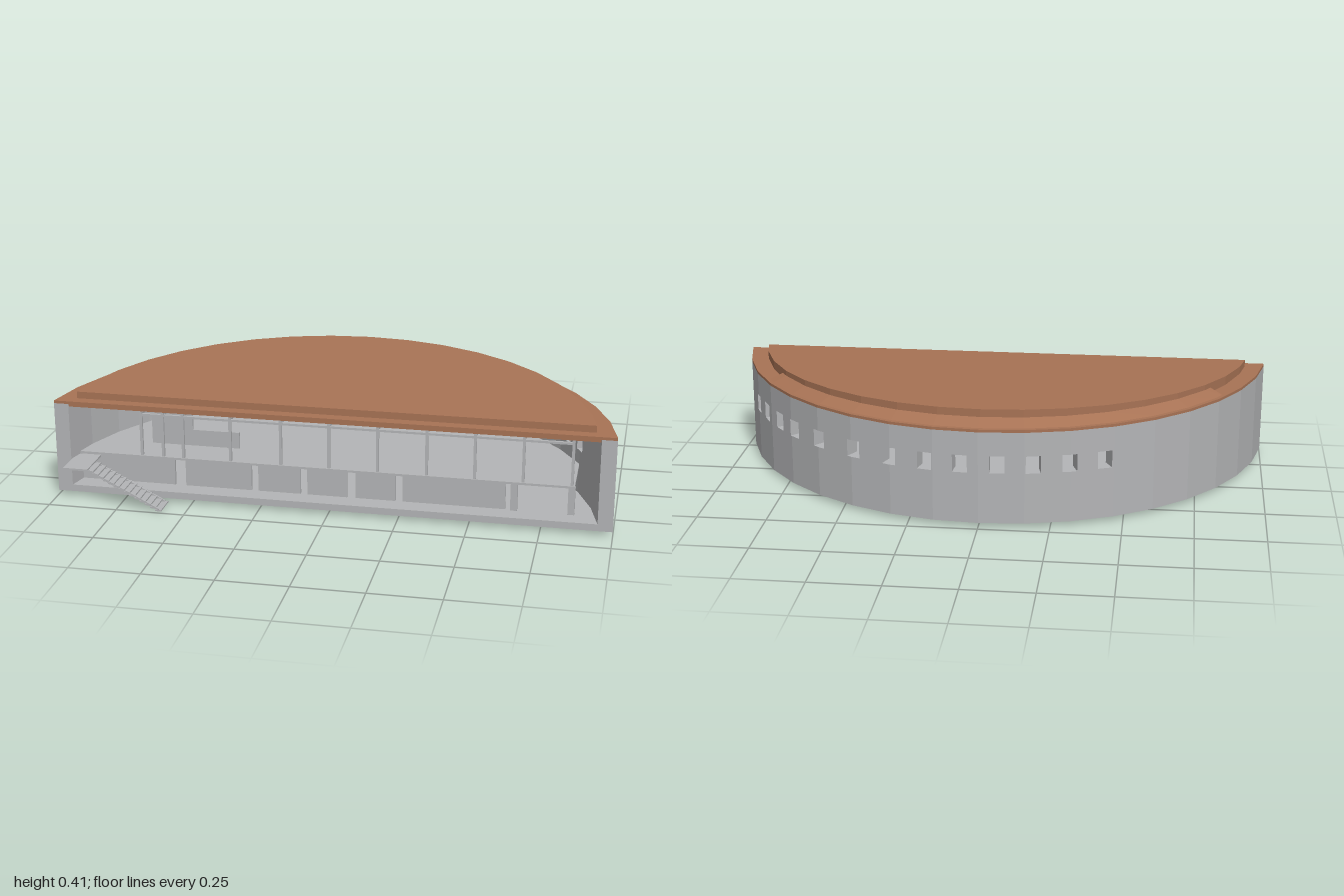
import * as THREE from 'three';

const CZ = 0.529, R_OUT = 1.009, R_IN = 0.955, FRONT = 0.395; // arc centre, radii, front plane
const END = THREE.MathUtils.degToRad(82.37), FACETS = 18, STEP = (2 * END) / FACETS;

export function createModel() {
  const model = new THREE.Group();
  const concrete = new THREE.MeshStandardMaterial({ color: 0xb4b5b7 });
  concrete.name = 'grey concrete';
  const brown = new THREE.MeshStandardMaterial({ color: 0xa87355, side: THREE.DoubleSide });
  brown.name = 'brown roofing';

  const add = (name, geometry, material, parent = model) => {
    const mesh = new THREE.Mesh(geometry, material);
    mesh.name = name;
    parent.add(mesh);
    return mesh;
  };
  const group = (name) => {
    const g = new THREE.Group();
    g.name = name;
    model.add(g);
    return g;
  };
  // Box given by its limits
  const box = (name, x0, x1, y0, y1, z0, z1, material = concrete, parent = model) => {
    const g = new THREE.BoxGeometry(x1 - x0, y1 - y0, z1 - z0);
    g.translate((x0 + x1) / 2, (y0 + y1) / 2, (z0 + z1) / 2);
    return add(name, g, material, parent);
  };

  // Point [x, z] on the faceted arc, clipped at a front plane
  const arcPoint = (a, r, front = FRONT) => {
    const k = Math.min(FACETS - 1, Math.max(0, Math.floor((a + END) / STEP + 1e-6)));
    const mid = -END + (k + 0.5) * STEP;
    const rr = (r * Math.cos(STEP / 2)) / Math.cos(a - mid);
    return [rr * Math.sin(a), Math.min(front, CZ - rr * Math.cos(a))];
  };
  // Angles from a0 to a1 with the facet corners between them
  const angles = (a0, a1) => {
    const list = [a0];
    for (let i = 0; i <= FACETS; i++) {
      const a = -END + i * STEP;
      if (a > a0 + 1e-4 && a < a1 - 1e-4) list.push(a);
    }
    return [...list, a1];
  };
  const arc = (a0, a1, r, front) => angles(a0, a1).map((a) => arcPoint(a, r, front));
  // Upright prism over an outline of [x, z] points
  const prism = (points, y0, y1) => {
    const shape = new THREE.Shape(points.map(([x, z]) => new THREE.Vector2(x, -z)));
    const g = new THREE.ExtrudeGeometry(shape, { depth: y1 - y0, bevelEnabled: false });
    g.rotateX(-Math.PI / 2);
    g.translate(0, y0, 0);
    return g;
  };
  const wallBlock = (a0, a1, y0, y1) =>
    prism([...arc(a0, a1, R_OUT), ...arc(a0, a1, R_IN).reverse()], y0, y1);

  // Base and curved wall with a row of window openings
  add('base', prism(arc(-END, END, R_OUT), 0.015, 0.04), concrete);
  const wall = group('curvedWall');
  add('wallBelowWindows', wallBlock(-END, END, 0.04, 0.2), concrete, wall);
  add('wallAboveWindows', wallBlock(-END, END, 0.263, 0.35), concrete, wall);
  const windows = [-25.5, -18.2, -10.9, -3.7, 3.7, 10.9, 18.6, 27, 36.5, 44.7, 51, 58, 64.3];
  const half = THREE.MathUtils.degToRad(1.5);
  let start = -END;
  for (const deg of [...windows, null]) {
    const a = deg === null ? END + half : THREE.MathUtils.degToRad(deg);
    add('wallBetweenWindows', wallBlock(start, a - half, 0.2, 0.263), concrete, wall);
    start = a + half;
  }

  // Flat roof rim and ceiling
  add('roofRim', prism(arc(-END, END, R_OUT), 0.35, 0.36), brown);
  add('ceiling', prism(arc(-END, END, R_IN - 0.002), 0.341, 0.351), brown);

  // Raised roof, rising towards the back
  const roofEnd = THREE.MathUtils.degToRad(79.4);
  const roof = prism(arc(-roofEnd, roofEnd, 0.945, 0.355), 0.36, 0.4);
  const p = roof.attributes.position;
  for (let i = 0; i < p.count; i++) {
    if (p.getY(i) > 0.38) p.setY(i, 0.385 + ((0.355 - p.getZ(i)) / 0.76) * 0.027);
  }
  roof.computeVertexNormals();
  add('raisedRoof', roof, brown);

  // Sloping skirt round the back of the raised roof
  const skirt = [];
  const list = angles(-1, 1);
  const ring = list.map((a) => {
    const [xi, zi] = arcPoint(a, 0.943);
    const [xo, zo] = arcPoint(a, 0.996);
    return [[xi, 0.372 + 0.013 * Math.cos(a), zi], [xo, 0.361, zo]];
  });
  for (let i = 0; i < ring.length - 1; i++) {
    const [a, b] = ring[i], [c, d] = ring[i + 1];
    skirt.push(...a, ...c, ...b, ...b, ...c, ...d);
  }
  const skirtGeometry = new THREE.BufferGeometry();
  skirtGeometry.setAttribute('position', new THREE.Float32BufferAttribute(skirt, 3));
  skirtGeometry.computeVertexNormals();
  add('roofSkirt', skirtGeometry, brown);

  // Upper floor with a straight right edge
  const deckRight = Math.asin(0.86 / R_IN);
  add('upperFloor', prism([...arc(-1.37, deckRight, R_IN, 0.335), [0.86, 0.335], [-0.94, 0.335]],
    0.141, 0.149), concrete);

  // Front and inner frames: posts, beams and cross beams
  const frame = group('frame');
  const posts = [-0.7, -0.62, -0.545, -0.37, -0.185, -0.01, 0.165, 0.34, 0.51, 0.68, 0.85];
  for (const x of posts) {
    box('post', x - 0.005, x + 0.005, 0.149, 0.341, 0.32, 0.33, concrete, frame);
    box('crossBeam', x - 0.004, x + 0.004, 0.3, 0.308, 0.1, 0.325, concrete, frame);
  }
  for (const z of [0.1, 0.32]) box('beam', -0.7, 0.855, 0.3, 0.308, z, z + 0.01, concrete, frame);
  for (const x of [0.65, 0.85]) box('lowerPost', x - 0.012, x + 0.012, 0.04, 0.141, 0.31, 0.33, concrete, frame);

  // Ground floor wall panels and upper partition
  const panels = [[-0.942, -0.58], [-0.54, -0.295], [-0.27, -0.115], [-0.09, 0.055], [0.085, 0.23], [0.255, 0.62]];
  for (const [x0, x1] of panels) box('lowerWallPanel', x0, x1, 0.04, 0.141, 0.31, 0.322);
  box('upperPartition', -0.7, -0.545, 0.149, 0.341, 0.19, 0.2);
  box('lowParapet', -0.545, -0.37, 0.149, 0.21, 0.19, 0.2);

  // Outside stair with landing
  const stair = group('stair');
  box('landing', -0.945, -0.855, 0.133, 0.14, 0.335, 0.485, concrete, stair);
  const steps = 14, run = 0.265 / steps, rise = 0.14 / steps;
  for (let i = 0; i < steps; i++) {
    const x = -0.855 + i * run, y = 0.14 - (i + 1) * rise;
    box('tread', x, x + run + 0.003, y, y + 0.005, 0.397, 0.485, concrete, stair);
  }
  for (const z of [0.4, 0.477]) {
    const stringer = new THREE.BoxGeometry(Math.hypot(0.255, 0.13), 0.008, 0.006);
    stringer.rotateZ(-Math.atan2(0.13, 0.255));
    stringer.translate(-0.725, 0.07, z + 0.003);
    add('stringer', stringer, concrete, stair);
  }
  return model;
}
